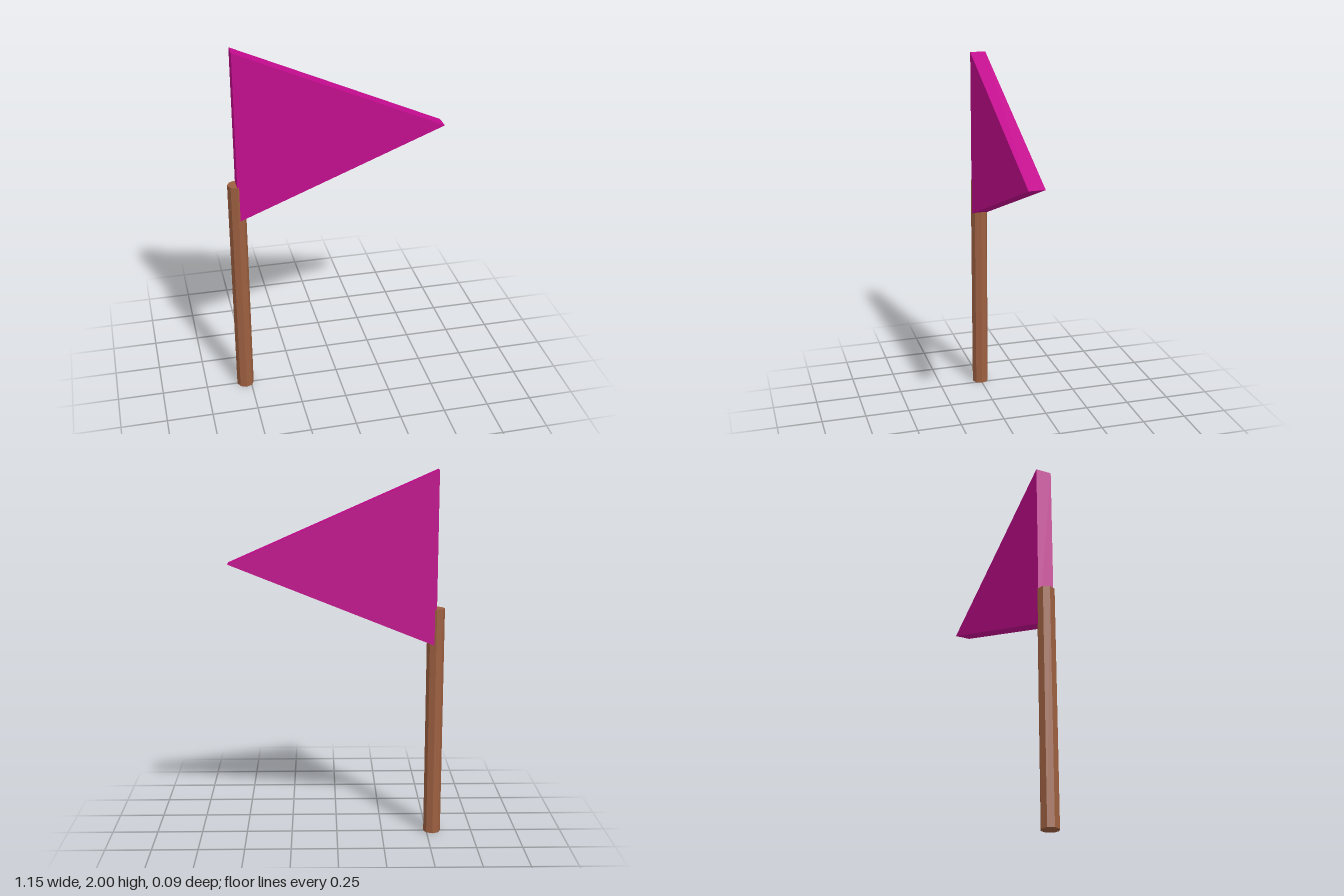
import * as THREE from 'three';

export function createModel() {
  const model = new THREE.Group();
  model.name = 'pennantFlag';

  const wood = new THREE.MeshStandardMaterial({ color: 0x9c5f40 });
  wood.name = 'brown wood';
  wood.flatShading = true;
  const cloth = new THREE.MeshStandardMaterial({ color: 0xc20b8d });
  cloth.name = 'magenta cloth';
  cloth.flatShading = true;

  const poleX = -0.531;

  // Eight-sided pole
  const poleHeight = 1.267;
  const pole = new THREE.Mesh(new THREE.CylinderGeometry(0.047, 0.047, poleHeight, 8), wood);
  pole.name = 'pole';
  pole.position.set(poleX, poleHeight / 2, 0);
  model.add(pole);

  // Thick triangular pennant, its hoist edge on the pole's axis
  const depth = 0.086;
  const outline = new THREE.Shape([
    new THREE.Vector2(poleX, 1.067),
    new THREE.Vector2(0.576, 1.511),
    new THREE.Vector2(poleX, 2),
  ]);
  const pennant = new THREE.Mesh(
    new THREE.ExtrudeGeometry(outline, { depth, bevelEnabled: false }),
    cloth
  );
  pennant.name = 'pennant';
  pennant.position.z = -depth / 2;
  model.add(pennant);

  return model;
}
